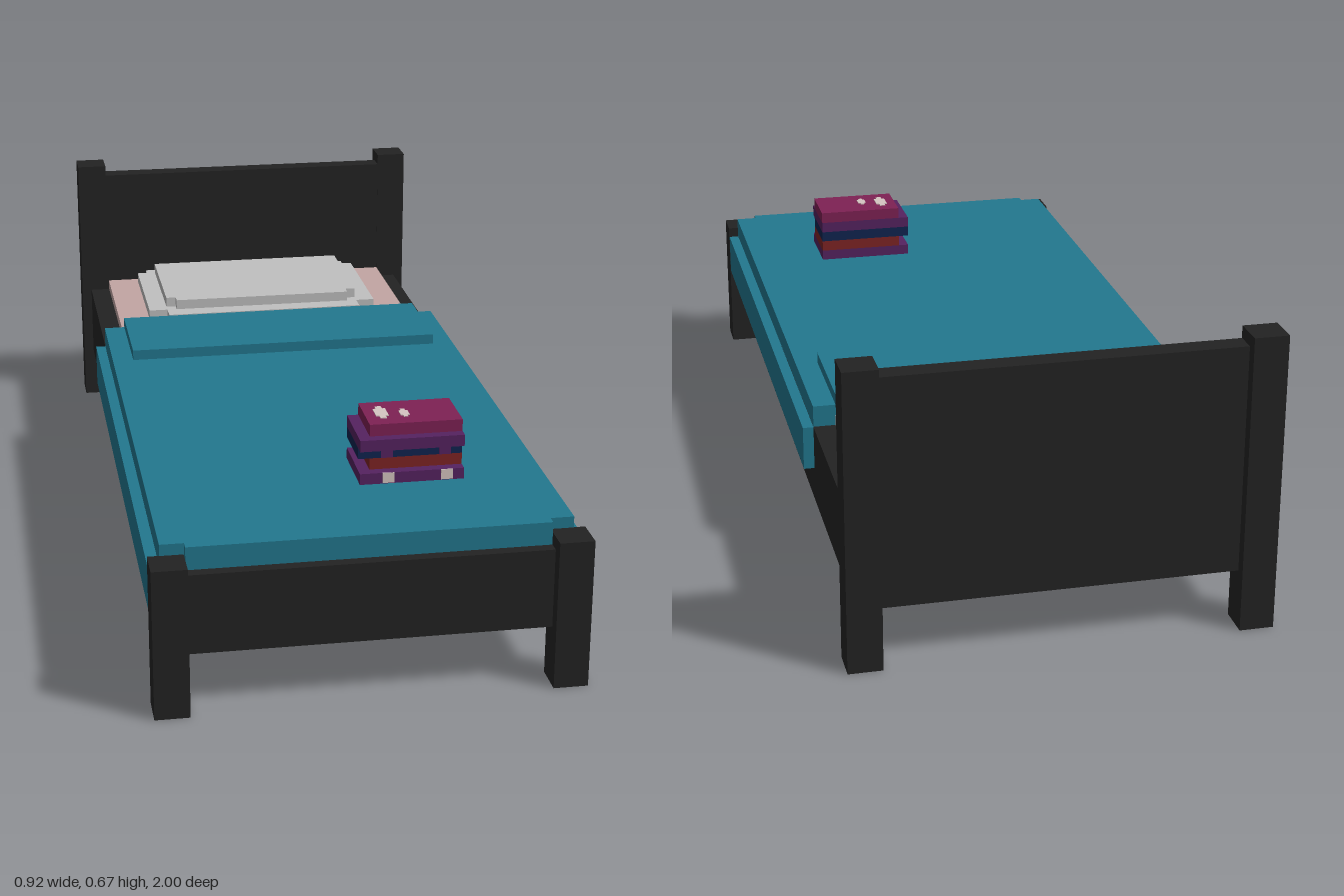
import * as THREE from 'three';

export function createModel() {
  const model = new THREE.Group();
  model.name = 'bed';

  const colour = (name, hex) => {
    const m = new THREE.MeshStandardMaterial({ color: hex });
    m.name = name;
    return m;
  };
  const black = colour('black wood', 0x232323);
  const teal = colour('teal blanket', 0x22788f);
  const pink = colour('pink sheet', 0xc2a5a3);
  const grey = colour('grey pillow', 0xc0c0c0);
  const plum = colour('plum cover', 0x7e2154);
  const purple = colour('purple cover', 0x552260);
  const navy = colour('navy cover', 0x0f2450);
  const red = colour('red cover', 0x7e2424);
  const pale = colour('pale trim', 0xd6c6c2);

  const group = (name) => {
    const g = new THREE.Group();
    g.name = name;
    model.add(g);
    return g;
  };
  // Box given by its minimum and maximum on each axis
  const box = (parent, name, mat, [x0, x1], [y0, y1], [z0, z1]) => {
    const mesh = new THREE.Mesh(new THREE.BoxGeometry(x1 - x0, y1 - y0, z1 - z0), mat);
    mesh.position.set((x0 + x1) / 2, (y0 + y1) / 2, (z0 + z1) / 2);
    mesh.name = name;
    parent.add(mesh);
    return mesh;
  };
  const wide = (w) => [-w, w];
  const side = (s, a, b) => (s > 0 ? [a, b] : [-b, -a]);

  // Frame: posts, rails, boards and the base under the mattress
  const frame = group('frame');
  for (const s of [1, -1]) {
    const name = s > 0 ? 'left' : 'right';
    box(frame, name + 'FrontPost', black, side(s, 0.385, 0.46), [0, 0.335], [0.925, 1]);
    box(frame, name + 'BackPost', black, side(s, 0.385, 0.46), [0, 0.667], [-1, -0.925]);
    box(frame, name + 'Rail', black, side(s, 0.385, 0.435), [0.13, 0.31], [-0.925, 0.925]);
  }
  box(frame, 'headboard', black, wide(0.385), [0.13, 0.64], [-0.974, -0.926]);
  box(frame, 'footboard', black, wide(0.385), [0.13, 0.308], [0.924, 0.97]);
  box(frame, 'base', black, wide(0.385), [0.26, 0.305], [-0.926, 0.924]);

  // Mattress
  box(model, 'mattress', pink, wide(0.385), [0.305, 0.335], [-0.926, 0.92]);

  // Blanket with a turned-down fold and hanging sides
  const blanket = group('blanket');
  box(blanket, 'blanketTop', teal, wide(0.435), [0.311, 0.36], [-0.44, 0.925]);
  box(blanket, 'blanketFoot', teal, wide(0.384), [0.309, 0.36], [0.925, 0.947]);
  box(blanket, 'blanketFold', teal, wide(0.384), [0.36, 0.385], [-0.44, -0.183]);
  for (const s of [1, -1]) {
    box(blanket, s > 0 ? 'leftFlap' : 'rightFlap', teal, side(s, 0.434, 0.459), [0.21, 0.31], [-0.44, 0.925]);
    // Foot corners that lie over the posts
    box(blanket, 'footCorner', teal, side(s, 0.384, 0.435), [0.335, 0.36], [0.92, 0.926]);
  }

  // Pillow: two stepped layers with notched corners
  const pillow = group('pillow');
  box(pillow, 'lowerPillow', grey, wide(0.305), [0.335, 0.36], [-0.9, -0.565]);
  box(pillow, 'lowerPillowBack', grey, wide(0.28), [0.335, 0.36], [-0.924, -0.9]);
  box(pillow, 'lowerPillowFront', grey, wide(0.257), [0.335, 0.36], [-0.565, -0.52]);
  box(pillow, 'upperPillow', grey, wide(0.257), [0.36, 0.385], [-0.9, -0.59]);
  box(pillow, 'upperPillowFront', grey, wide(0.232), [0.36, 0.385], [-0.59, -0.565]);

  // Stack of books: colour, left edge, bottom, top, front
  const books = group('books');
  [
    [purple, 0.025, 0.36, 0.385, 0.69],
    [red, 0.05, 0.385, 0.411, 0.667],
    [navy, 0.025, 0.411, 0.436, 0.667],
    [purple, 0.025, 0.436, 0.462, 0.69],
    [plum, 0.05, 0.462, 0.489, 0.667],
  ].forEach(([mat, x, y0, y1, z], i) => {
    box(books, 'book' + (i + 1), mat, [x, 0.255], [y0, y1], [0.535, z]);
  });

  // Painted spine trims, one pair on the bottom book and one on the navy book
  for (const x of [0.088, 0.217]) {
    box(books, 'paleSpineTrim', pale, [x - 0.013, x + 0.013], [0.362, 0.385], [0.689, 0.692]);
    box(books, 'purpleSpineTrim', purple, [x - 0.013, x + 0.013], [0.411, 0.428], [0.666, 0.669]);
    box(books, 'purpleSpineCap', purple, [x - 0.02, x + 0.02], [0.428, 0.436], [0.666, 0.669]);
  }

  // Small marks on the top cover
  for (const [x, z, w, h] of [[0.087, 0.6, 0.014, 0.035], [0.137, 0.61, 0.01, 0.022]]) {
    box(books, 'coverMark', pale, [x - w, x + w], [0.488, 0.491], [z - h * 0.6, z + h * 0.6]);
    box(books, 'coverMarkTip', pale, [x - w / 2, x + w / 2], [0.488, 0.491], [z - h, z + h]);
  }

  return model;
}
